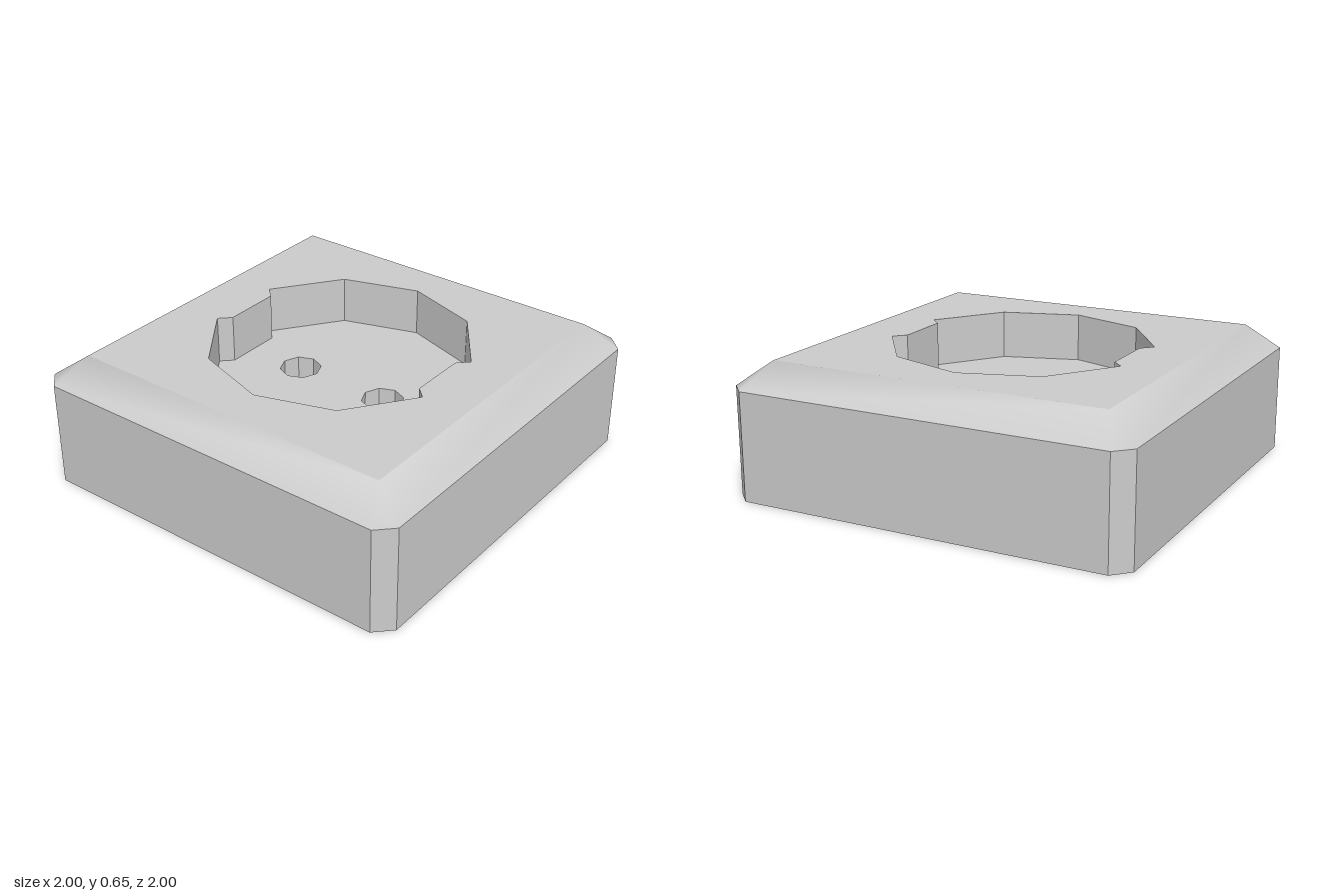
import * as THREE from 'three';
import { mergeVertices } from 'three/addons/utils/BufferGeometryUtils.js';

const BASE = 0, RIM = 0.53, TOP = 0.65, FLOOR = 0.41, PIN_BOTTOM = 0.15;

// Plan points are [x, -z], listed counter-clockwise seen from above.
const square = (half, cut) => [
  [half, -half + cut], [half, half - cut], [half - cut, half], [-half + cut, half],
  [-half, half - cut], [-half, -half + cut], [-half + cut, -half], [half - cut, -half],
];

const circle = (cx, radius, sides) => Array.from({ length: sides }, (_, i) => {
  const a = (i / sides) * Math.PI * 2;
  return [cx + radius * Math.cos(a), radius * Math.sin(a)];
});

// Band of faces from ring a (height ya) to ring b (height yb); going down makes it face inward.
function band(a, ya, b, yb, smooth = false) {
  const positions = [];
  const put = ([x, d], y) => positions.push(x, y, -d);
  a.forEach((p, i) => {
    const j = (i + 1) % a.length;
    put(p, ya); put(a[j], ya); put(b[j], yb);
    put(p, ya); put(b[j], yb); put(b[i], yb);
  });
  let geometry = new THREE.BufferGeometry();
  geometry.setAttribute('position', new THREE.Float32BufferAttribute(positions, 3));
  if (smooth) geometry = mergeVertices(geometry);
  geometry.computeVertexNormals();
  return geometry;
}

// Flat horizontal face with optional holes, facing up.
function face(ring, y, holes = []) {
  const points = (r) => r.map(([x, d]) => new THREE.Vector2(x, d));
  const shape = new THREE.Shape(points(ring));
  shape.holes = holes.map((h) => new THREE.Path(points(h)));
  return new THREE.ShapeGeometry(shape).rotateX(-Math.PI / 2).translate(0, y, 0);
}

export function createModel() {
  const model = new THREE.Group();
  model.name = 'wallSocket';
  const material = new THREE.MeshStandardMaterial({ color: 0xcccccc });
  const add = (name, geometry) => {
    const mesh = new THREE.Mesh(geometry, material);
    mesh.name = name;
    model.add(mesh);
  };

  const outer = square(1, 0.08);
  const inner = square(0.84, 0);

  // Ten-sided recess whose left and right sides step inward as guide ribs
  const quarter = [[0.555, 0.145], [0.609, 0.198], [0.376, 0.52]];
  const half = [...quarter, [0, 0.64], ...quarter.map(([x, d]) => [-x, d]).reverse()];
  const recess = [...half, ...half.map(([x, d]) => [-x, -d])];

  // Housing
  add('sideWalls', band(outer, BASE, outer, RIM));
  add('bevel', band(outer, RIM, inner, TOP, true));
  add('topFace', face(inner, TOP, [recess]));
  add('underside', face(outer, 0).rotateX(Math.PI));

  // Recess and its two pin holes
  const pins = [-0.25, 0.25].map((x) => circle(x, 0.102, 8));
  add('recessWall', band(recess, TOP, recess, FLOOR));
  add('recessFloor', face(recess, FLOOR, pins));
  pins.forEach((pin, i) => {
    const side = i ? 'left' : 'right';
    add(`${side}PinHoleWall`, band(pin, FLOOR, pin, PIN_BOTTOM));
    add(`${side}PinHoleBottom`, face(pin, PIN_BOTTOM));
  });
  return model;
}
